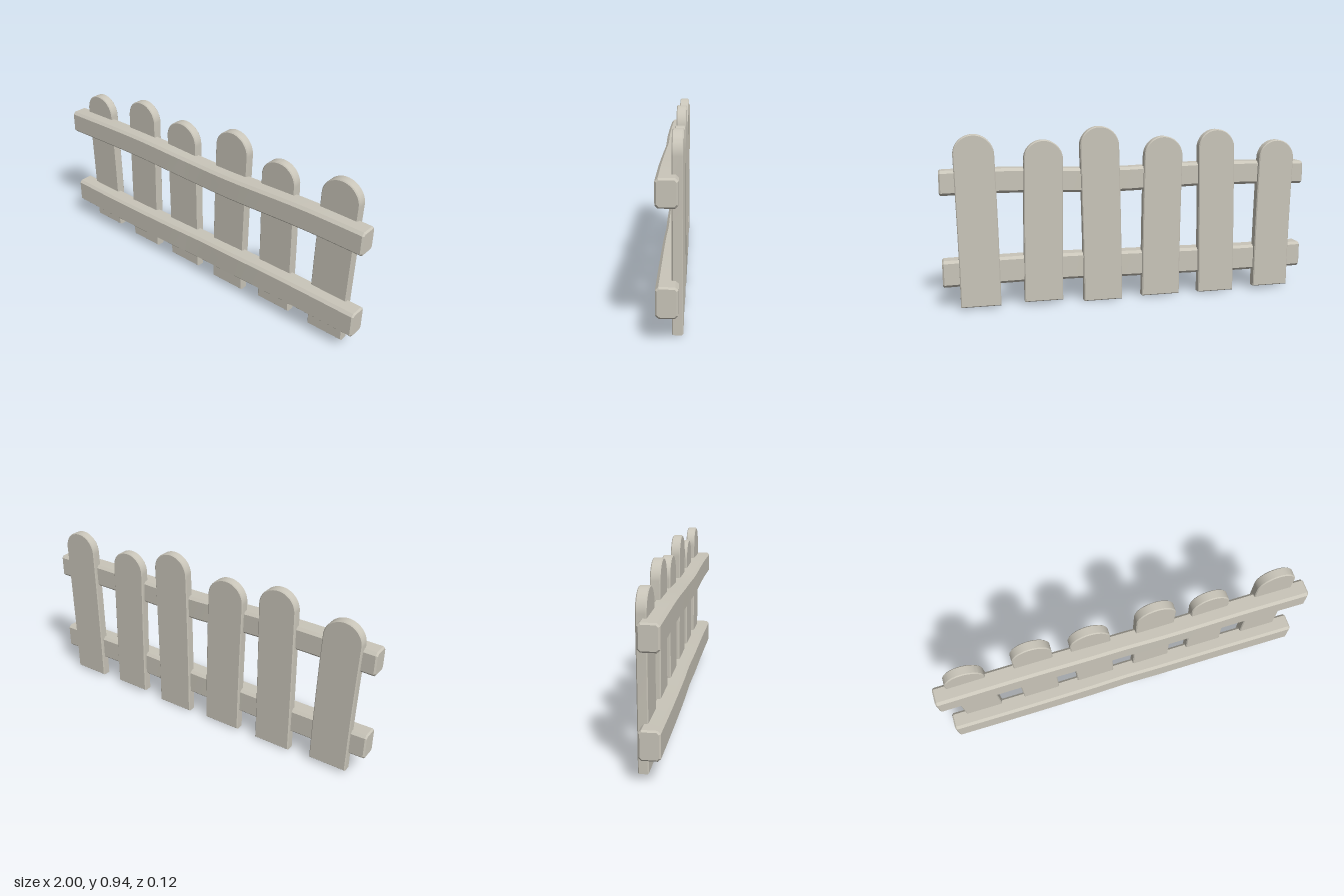
import * as THREE from 'three';
import { toCreasedNormals } from 'three/addons/utils/BufferGeometryUtils.js';

const wood = new THREE.MeshStandardMaterial({ color: 0xc9c5b9 });
wood.name = 'paleWood';

// Move every vertex by a rule, then shade with creased normals
function bend(geometry, rule) {
  const p = geometry.attributes.position;
  const v = new THREE.Vector3();
  for (let i = 0; i < p.count; i++) {
    rule(v.fromBufferAttribute(p, i));
    p.setXYZ(i, v.x, v.y, v.z);
  }
  geometry.deleteAttribute('normal');
  return toCreasedNormals(geometry, 0.5);
}

// Round-topped board that leans a little towards its top
function makePicket(name, xBottom, xTop, yBottom, yTop, width) {
  const r = width / 2, bevel = 0.005, zBack = -0.058, depth = 0.05;
  const shape = new THREE.Shape();
  shape.moveTo(-r, yBottom);
  shape.lineTo(r, yBottom);
  for (let i = 1; i <= 4; i++) shape.lineTo(r, yBottom + (yTop - r - yBottom) * i / 4);
  shape.absarc(0, yTop - r, r, 0, Math.PI, false);
  for (let i = 3; i >= 1; i--) shape.lineTo(-r, yBottom + (yTop - r - yBottom) * i / 4);
  shape.closePath();
  const geometry = new THREE.ExtrudeGeometry(shape, {
    depth: depth - 2 * bevel, curveSegments: 16,
    bevelEnabled: true, bevelSegments: 1, bevelSize: bevel, bevelThickness: bevel, bevelOffset: -bevel,
  });
  geometry.translate(0, 0, zBack + bevel);
  const mesh = new THREE.Mesh(bend(geometry, (v) => {
    const t = (v.y - yBottom) / (yTop - yBottom);
    v.x += xBottom + (xTop - xBottom) * Math.min(1, 1.25 * Math.pow(Math.max(t, 0), 1.7));
  }), wood);
  mesh.name = name;
  return mesh;
}

// Chamfered beam along x whose height follows a gentle wave
function makeRail(name, height, wavePoints) {
  const bevel = 0.008, c = 0.014, z = 0.05, y = height / 2;
  const shape = new THREE.Shape([
    [-z + c, -y], [z - c, -y], [z, -y + c], [z, y - c],
    [z - c, y], [-z + c, y], [-z, y - c], [-z, -y + c],
  ].map(([a, b]) => new THREE.Vector2(a, b)));
  const geometry = new THREE.ExtrudeGeometry(shape, {
    depth: 2 - 2 * bevel, steps: 20,
    bevelEnabled: true, bevelSegments: 1, bevelSize: bevel, bevelThickness: bevel, bevelOffset: -bevel,
  });
  geometry.translate(0, 0, bevel - 1);
  geometry.rotateY(Math.PI / 2);
  const wave = new THREE.SplineCurve(wavePoints.map(([a, b]) => new THREE.Vector2(a, b)));
  const samples = wave.getPoints(80);
  const heightAt = (x) => {
    let i = 1;
    while (i < samples.length - 1 && samples[i].x < x) i++;
    const a = samples[i - 1], b = samples[i];
    return a.y + (b.y - a.y) * (x - a.x) / (b.x - a.x);
  };
  const mesh = new THREE.Mesh(bend(geometry, (v) => {
    v.y += heightAt(v.x);
    v.z += 0.01 - 0.004 * Math.exp(-Math.pow(v.x / 0.15, 2));
  }), wood);
  mesh.name = name;
  return mesh;
}

export function createModel() {
  const fence = new THREE.Group();
  fence.name = 'picketFence';

  // Pickets: x at bottom, x at top, bottom, top, width
  const pickets = [
    [-0.813, -0.829, 0.018, 0.848, 0.204],
    [-0.484, -0.475, 0.006, 0.912, 0.204],
    [-0.163, -0.175, 0.008, 0.88, 0.211],
    [0.16, 0.174, 0, 0.938, 0.208],
    [0.481, 0.47, 0.018, 0.873, 0.203],
    [0.81, 0.823, 0.01, 0.907, 0.207],
  ];
  pickets.forEach((p, i) => fence.add(makePicket('picket' + (i + 1), ...p)));

  // Rails across the front
  fence.add(makeRail('upperRail', 0.128,
    [[-1, 0.661], [-0.45, 0.669], [0.1, 0.653], [0.65, 0.666], [1, 0.661]]));
  fence.add(makeRail('lowerRail', 0.141,
    [[-1, 0.187], [-0.6, 0.182], [0, 0.189], [0.5, 0.195], [1, 0.188]]));
  return fence;
}
